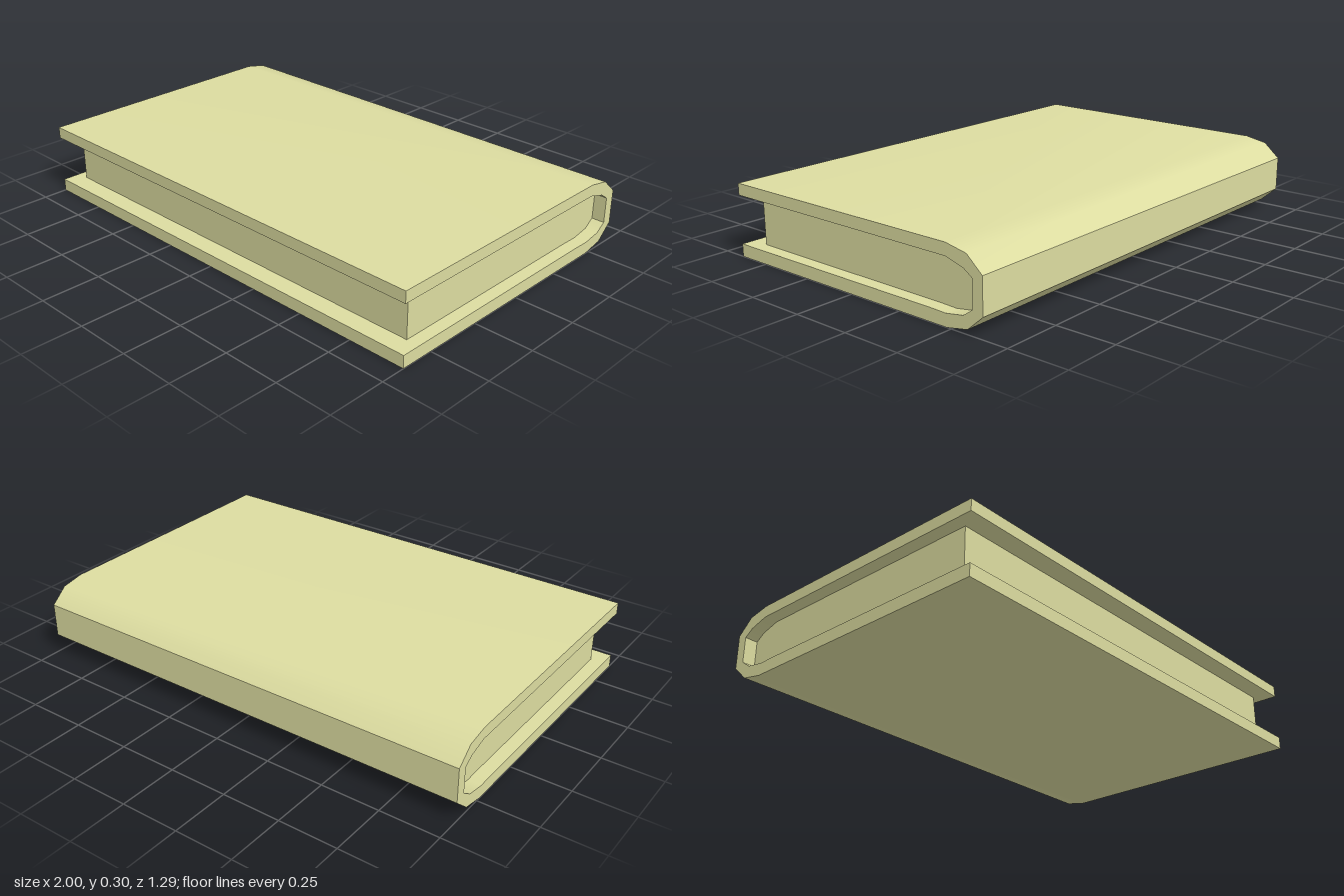
import * as THREE from 'three';
import { toCreasedNormals } from 'three/addons/utils/BufferGeometryUtils.js';

// Inside of the cover in (z, y), from the top of the hollow round the spine to the bottom
const hollow = [
  [-0.48, 0.255], [-0.56, 0.232], [-0.6, 0.205], [-0.6, 0.095],
  [-0.555, 0.064], [-0.475, 0.051], [-0.4, 0.053],
];

// Outside of the cover, from the bottom front edge round the spine to the top front edge
const outside = [
  [0.645, 0], [-0.48, 0], [-0.575, 0.018], [-0.645, 0.08],
  [-0.645, 0.225], [-0.575, 0.286], [-0.48, 0.304], [0.645, 0.304],
];

// Extrudes a (z, y) outline across the width, centred on x = 0
function slab(name, points, width, material) {
  const shape = new THREE.Shape(points.map(([z, y]) => new THREE.Vector2(z, y)));
  const geometry = new THREE.ExtrudeGeometry(shape, { depth: width, bevelEnabled: false });
  geometry.translate(0, 0, -width / 2);
  geometry.rotateY(-Math.PI / 2);
  const mesh = new THREE.Mesh(toCreasedNormals(geometry, 0.68), material);
  mesh.name = name;
  return mesh;
}

export function createModel() {
  const book = new THREE.Group();
  book.name = 'book';
  const material = new THREE.MeshStandardMaterial({ color: 0xdcdca0 });

  // Cover: two boards joined by a bevelled spine
  const coverOutline = [...outside, [0.645, 0.255], ...hollow, [0.645, 0.053]];
  book.add(slab('cover', coverOutline, 2, material));

  // Page block: fills the hollow, set back from the open edges
  const pageOutline = [[0.565, 0.255], ...hollow, [0.565, 0.053]];
  book.add(slab('pages', pageOutline, 1.89, material));

  return book;
}
